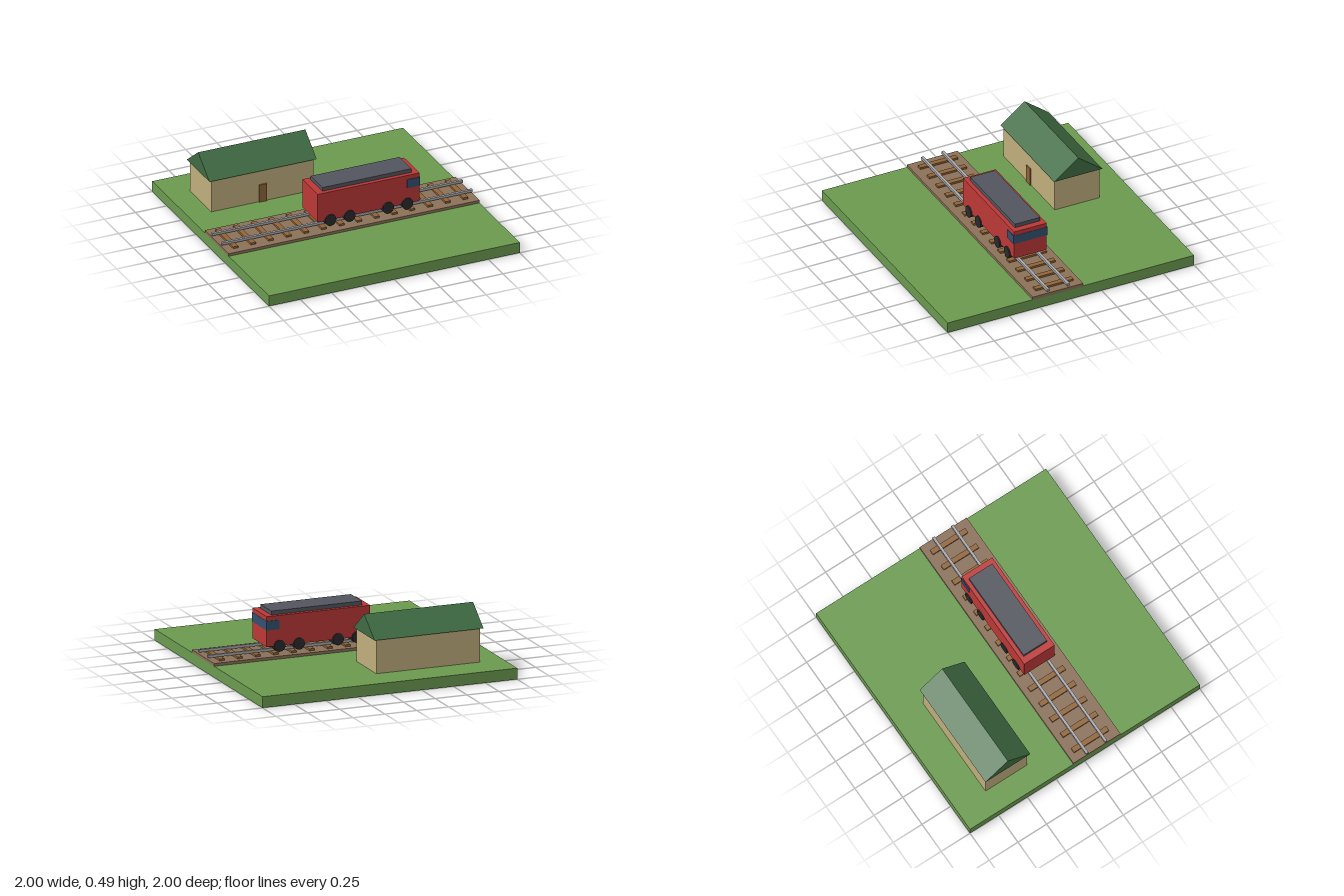
import * as THREE from 'three';

const mat = (color) => new THREE.MeshStandardMaterial({ color });
const grass = mat(0x6a994e), gravel = mat(0x8a7058), wood = mat(0x8f6438), steel = mat(0xa8a9ad);
const red = mat(0xba3836), slate = mat(0x52555e), glass = mat(0x34506e), black = mat(0x2a2a2e);
const plaster = mat(0xbfad7c), green = mat(0x3f6b42);

// Box given by its extents along each axis
function box(name, material, [x0, x1], [y0, y1], [z0, z1]) {
  const mesh = new THREE.Mesh(new THREE.BoxGeometry(x1 - x0, y1 - y0, z1 - z0), material);
  mesh.position.set((x0 + x1) / 2, (y0 + y1) / 2, (z0 + z1) / 2);
  mesh.name = name;
  return mesh;
}

function group(name, ...parts) {
  const g = new THREE.Group();
  g.name = name;
  g.add(...parts);
  return g;
}

// Gravel bed, sleepers and two rails
function makeTrack() {
  const track = group('track', box('ballast', gravel, [-1, 1], [0.08, 0.105], [-0.1, 0.31]));
  for (let i = 0; i < 14; i++) {
    const x = -0.917 + i * 0.141;
    track.add(box('sleeper', wood, [x - 0.02, x + 0.02], [0.1, 0.12], [-0.053, 0.253]));
  }
  for (const z of [0.02, 0.184]) track.add(box('rail', steel, [-1, 1], [0.118, 0.138], [z - 0.01, z + 0.01]));
  return track;
}

// Body, roof panel, cab window band and wheel sets
function makeLocomotive() {
  const loco = group('locomotive',
    box('body', red, [-0.255, 0.557], [0.163, 0.39], [-0.03, 0.235]),
    box('roofPanel', slate, [-0.203, 0.508], [0.385, 0.42], [0, 0.203]),
    box('cabWindow', glass, [0.457, 0.559], [0.288, 0.357], [-0.035, 0.24]));
  const wheelGeometry = new THREE.CylinderGeometry(0.044, 0.044, 0.284, 24).rotateX(Math.PI / 2);
  for (const x of [-0.155, -0.002, 0.304, 0.457]) {
    const wheel = new THREE.Mesh(wheelGeometry, black);
    wheel.position.set(x, 0.163, 0.103);
    wheel.name = 'wheelSet';
    loco.add(wheel);
  }
  return loco;
}

// Walls, door and gabled roof
function makeStation() {
  const gable = new THREE.Shape([[-0.195, 0], [0.195, 0], [0, 0.15]].map(([x, y]) => new THREE.Vector2(x, y)));
  const roofGeometry = new THREE.ExtrudeGeometry(gable, { depth: 0.855, bevelEnabled: false });
  const roof = new THREE.Mesh(roofGeometry.rotateY(Math.PI / 2), green);
  roof.position.set(-0.838, 0.338, -0.562);
  roof.name = 'stationRoof';
  return group('station',
    box('walls', plaster, [-0.818, -0.002], [0.08, 0.34], [-0.743, -0.38]),
    box('door', wood, [-0.438, -0.377], [0.08, 0.223], [-0.385, -0.37]),
    roof);
}

export function createModel() {
  return group('railwayScene',
    box('ground', grass, [-1, 1], [0, 0.084], [-1, 1]),
    makeTrack(), makeLocomotive(), makeStation());
}
